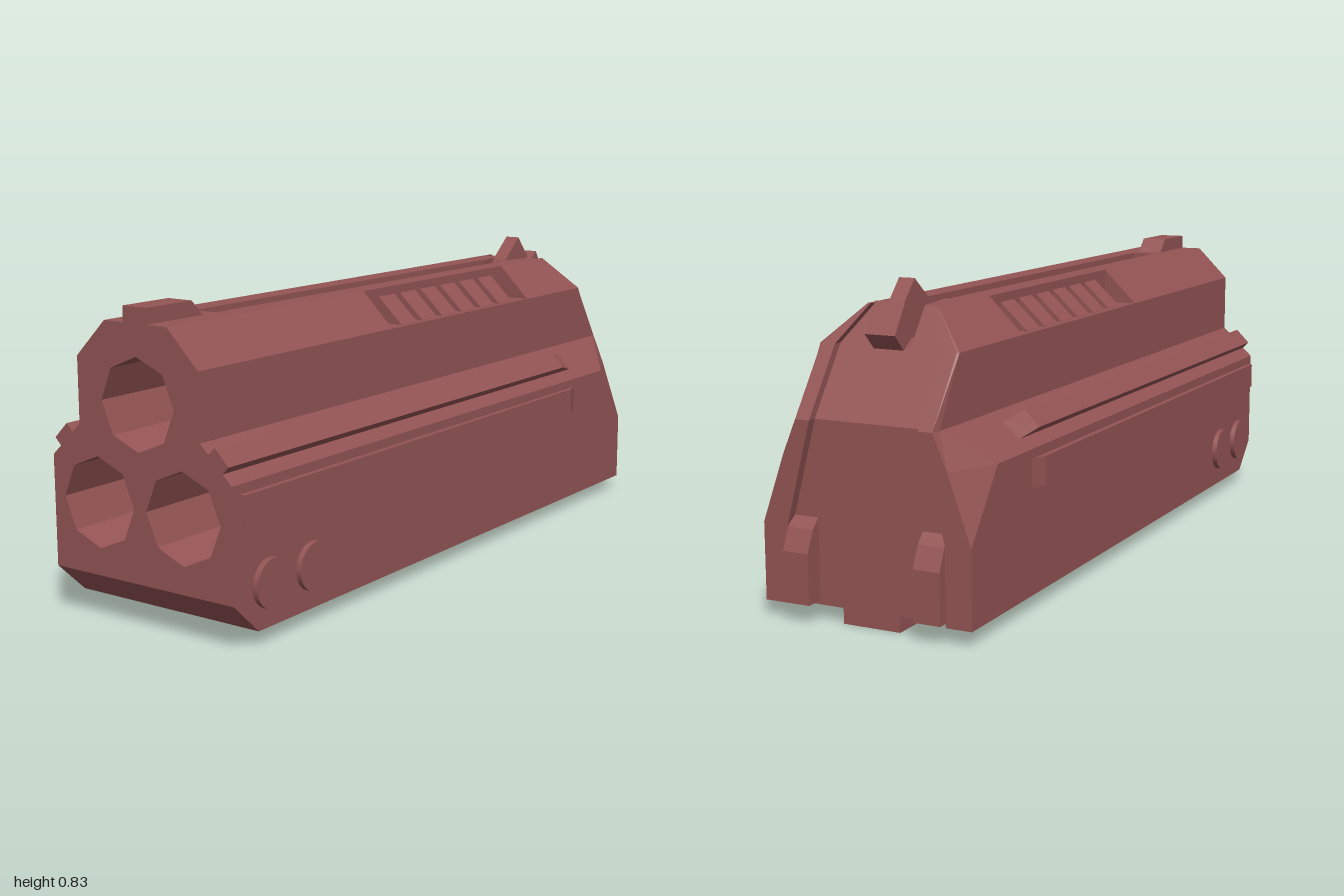
import * as THREE from 'three';

const flat = new THREE.MeshStandardMaterial({ color: 0x945454, flatShading: true });
const smooth = new THREE.MeshStandardMaterial({ color: 0x945454 });

const shapeOf = pts => new THREE.Shape(pts.map(p => new THREE.Vector2(p[0], p[1])));

// Extrude a front-view outline between two z positions
function extrudeZ(shape, z0, z1) {
  return new THREE.ExtrudeGeometry(shape, { depth: z1 - z0, bevelEnabled: false }).translate(0, 0, z0);
}

// Extrude a side-view outline of [z, y] points across x
function extrudeX(pts, x0, x1) {
  return new THREE.ExtrudeGeometry(shapeOf(pts.map(([z, y]) => [-z, y])), { depth: x1 - x0, bevelEnabled: false })
    .rotateY(Math.PI / 2).translate(x0, 0, 0);
}

// Stack of horizontal loops: levels = [{ y, pts: [[x, z], ...] }], counterclockwise seen from above
function stack(levels) {
  const n = levels[0].pts.length, pos = [], index = [];
  for (const { y, pts } of levels) for (const [x, z] of pts) pos.push(x, y, z);
  for (let l = 0; l < levels.length - 1; l++) {
    for (let i = 0; i < n; i++) {
      const a = l * n + i, b = l * n + (i + 1) % n;
      index.push(a, b, b + n, a, b + n, a + n);
    }
  }
  const cap = (l, flip) => {
    const contour = levels[l].pts.map(([x, z]) => new THREE.Vector2(x, -z));
    for (const [a, b, c] of THREE.ShapeUtils.triangulateShape(contour, [])) {
      if (flip) index.push(l * n + a, l * n + c, l * n + b);
      else index.push(l * n + a, l * n + b, l * n + c);
    }
  };
  cap(0, true);
  cap(levels.length - 1, false);
  const g = new THREE.BufferGeometry();
  g.setAttribute('position', new THREE.Float32BufferAttribute(pos, 3));
  g.setIndex(index);
  const out = g.toNonIndexed();
  out.computeVertexNormals();
  return out;
}

const mirrorLoop = pts => pts.map(([x, z]) => [-x, z]).reverse();

// Symmetric outline from its right half (listed bottom to top)
const symmetric = half => shapeOf([...half, ...mirrorLoop(half)]);

// Strip with a tapered rear end, pointing outward at the given angle
function strip(height, width, zFront, zTaper, zRear, angle) {
  const s = shapeOf([[-0.01, zRear], [0, zRear], [height, zTaper], [height, zFront], [-0.01, zFront]]);
  return new THREE.ExtrudeGeometry(s, { depth: width, bevelEnabled: false })
    .translate(0, 0, -width / 2).rotateX(Math.PI / 2).rotateZ(angle);
}

export function createModel() {
  const model = new THREE.Group();
  model.name = 'tripleBarrelHousing';
  const add = (name, geometry, material = flat) => {
    const m = new THREE.Mesh(geometry, material);
    m.name = name;
    model.add(m);
    return m;
  };

  // Front housing with three octagonal bores
  const lower = [[0.29, 0.125], [0.29, 0.415], [0.195, 0.505], [0.195, 0.675], [0.1, 0.77]];
  const groove = [[0.035, 0.77], [0.035, 0.735]];
  const withBores = shape => {
    for (const [cx, cy] of [[0, 0.573], [-0.137, 0.313], [0.137, 0.313]]) {
      const hole = [];
      for (let i = 0; i < 8; i++) {
        const a = -i * Math.PI / 4;
        hole.push(new THREE.Vector2(cx + 0.117 * Math.cos(a), cy + 0.117 * Math.sin(a)));
      }
      shape.holes.push(new THREE.Path(hole));
    }
    return shape;
  };
  const split = 0.4;
  add('muzzleBlock', extrudeZ(withBores(symmetric(lower)), 0.75, 1));
  add('boreBlock', extrudeZ(withBores(symmetric([...lower, ...groove])), split, 0.75));
  add('chinBlock', extrudeX([[split, 0.04], [0.91, 0.04], [1, 0.125], [split, 0.125]], -0.29, 0.29));

  // Rear housing: [y, side x, side end z, rim outer x, rim z, rim inner x, panel z]
  const rear = [
    [0.04, 0.29, -0.975, 0.29, -0.975, 0.22, -0.95],
    [0.24, 0.29, -0.975, 0.29, -0.975, 0.22, -0.95],
    [0.415, 0.29, -0.84, 0.228, -0.975, 0.174, -0.95],
    [0.505, 0.195, -0.95, 0.19, -0.975, 0.15, -0.95],
    [0.675, 0.195, -0.85, 0.19, -0.855, 0.15, -0.83],
    [0.77, 0.1, -0.78, 0.098, -0.785, 0.09, -0.76],
  ];
  const halfLoop = ([, w, zs, wo, zb, wi, zp], zFront) =>
    [[w, zFront], [w, zs], [wo, zb], [wi, zb], [wi, zp]];
  add('rearHousing', stack(rear.slice(0, 5).map(r => {
    const half = halfLoop(r, split);
    return { y: r[0], pts: [...half, ...mirrorLoop(half)] };
  })));

  // Top ridge: grooved lengths, narrowed where the side notches are cut
  const wideTop = symmetric([[0.195, 0.675], [0.1, 0.77], ...groove]);
  const narrowTop = symmetric([[0.1, 0.675], [0.1, 0.77], ...groove]);
  add('topRidgeFront', extrudeZ(wideTop, 0.21, split));
  add('topRidgeNotched', extrudeZ(narrowTop, -0.52, 0.21));
  add('topRidgeRear', extrudeZ(wideTop, -0.62, -0.52));

  // Shoulders either side of the hammer slot
  for (const side of [1, -1]) {
    add(side > 0 ? 'leftShoulder' : 'rightShoulder', stack(rear.slice(4).map(r => {
      const pts = [...halfLoop(r, -0.62), [0.05, r[6]], [0.025, -0.62]];
      return { y: r[0], pts: side > 0 ? pts : mirrorLoop(pts) };
    })));
  }

  // Hammer: narrow blade and wider rear spur
  add('hammerBlade', extrudeX(
    [[-0.64, 0.69], [-0.83, 0.69], [-0.82, 0.77], [-0.76, 0.835], [-0.68, 0.77]], -0.022, 0.022));
  add('hammerSpur', extrudeX(
    [[-0.78, 0.72], [-0.85, 0.67], [-0.89, 0.71], [-0.84, 0.785], [-0.815, 0.765]], -0.042, 0.042));

  // Front sight and bottom rail
  add('frontSight', extrudeX([[0.8, 0.77], [0.84, 0.81], [1, 0.81], [1, 0.77]], -0.038, 0.038));
  add('bottomRail', new THREE.BoxGeometry(0.16, 0.05, 1.67).translate(0, 0.025, -0.115));

  for (const side of [1, -1]) {
    const name = side > 0 ? 'left' : 'right';
    const turn = a => (side > 0 ? a : Math.PI - a);

    // Wedge ribs in the notch
    for (let i = 0; i < 6; i++) {
      const z = -0.42 + i * 0.104;
      const pts = [[0.095, 0.67], [0.178, 0.67], [0.175, 0.677], [0.1, 0.747], [0.095, 0.747]];
      add(name + 'Rib' + (i + 1), extrudeZ(shapeOf(side > 0 ? pts : mirrorLoop(pts)), z - 0.038, z + 0.038));
    }

    // Rail on the sloped face and flat strip on the side
    add(name + 'SlopeRail', strip(0.028, 0.058, 1, -0.6, -0.68, turn(Math.PI / 4)))
      .position.set(side * 0.241, 0.46, 0);
    add(name + 'SideStrip', strip(0.015, 0.075, 0.97, -0.61, -0.66, turn(0)))
      .position.set(side * 0.29, 0.353, 0);

    // Round pins
    for (const z of [0.868, 0.7]) {
      add(name + 'Pin', new THREE.CylinderGeometry(0.063, 0.063, 0.03, 32).rotateZ(Math.PI / 2), smooth)
        .position.set(side * 0.29, 0.152, z);
    }

    // Raised lug on the back panel
    add(name + 'RearLug', extrudeX(
      [[-0.94, 0.05], [-1, 0.05], [-1, 0.18], [-0.975, 0.235], [-0.94, 0.27]],
      side * 0.183 - 0.036, side * 0.183 + 0.036));
  }
  return model;
}
